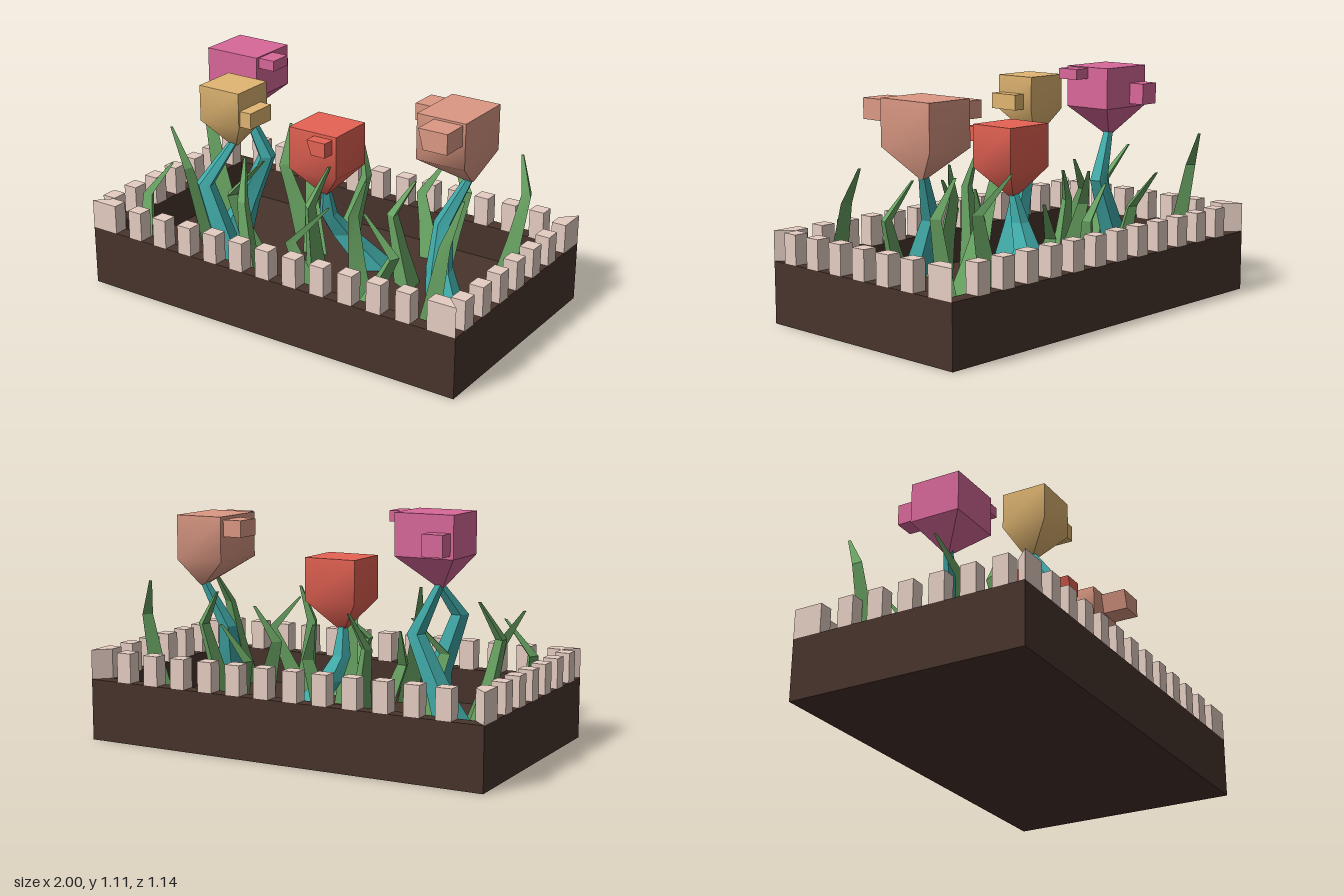
import * as THREE from 'three';
import { toCreasedNormals } from 'three/addons/utils/BufferGeometryUtils.js';

const mat = (name, color) => new THREE.MeshStandardMaterial({ name, color });

// Joins rings of points (all the same length) into a closed skin, bottom to top
function loft(rings, crease) {
  const n = rings[0].length, pos = [], index = [];
  rings.forEach(r => r.forEach(p => pos.push(...p)));
  for (let i = 0; i < rings.length - 1; i++) {
    for (let j = 0; j < n; j++) {
      const a = i * n + j, b = i * n + (j + 1) % n;
      index.push(a, a + n, b, b, a + n, b + n);
    }
  }
  const top = (rings.length - 1) * n;
  for (let j = 1; j < n - 1; j++) {
    index.push(top, top + j + 1, top + j);
    index.push(0, j, j + 1);
  }
  const g = new THREE.BufferGeometry();
  g.setAttribute('position', new THREE.Float32BufferAttribute(pos, 3));
  g.setIndex(index);
  return toCreasedNormals(g, crease);
}

// Bent, tapering stalk through the given [x, y, z] points
function stalk(points, radii, sides, turn) {
  return loft(points.map(([x, y, z], k) => Array.from({ length: sides }, (_, i) => {
    const a = turn + i / sides * Math.PI * 2;
    return [x + Math.cos(a) * radii[k], y, z + Math.sin(a) * radii[k]];
  })), 0.3);
}

const rect = (x0, x1, y, z0, z1) => [[x0, y, z0], [x1, y, z0], [x1, y, z1], [x0, y, z1]];
const square = (x0, x1, z0, z1) => [[x0, z0], [x1, z0], [x1, z1], [x0, z1]];

// Upright prism on an outline of [x, z] points; a hole runs the opposite way round
function prism(outline, y0, y1, hole) {
  const path = pts => pts.map(([x, z]) => new THREE.Vector2(x, -z));
  const shape = new THREE.Shape(path(outline));
  if (hole) shape.holes.push(new THREE.Path(path(hole).reverse()));
  const g = new THREE.ExtrudeGeometry(shape, { depth: y1 - y0, bevelEnabled: false });
  return g.rotateX(-Math.PI / 2).translate(0, y0, 0);
}

function add(parent, name, geometry, material) {
  const m = new THREE.Mesh(geometry, material);
  m.name = name;
  parent.add(m);
}

function addGroup(parent, name) {
  const g = new THREE.Group();
  g.name = name;
  parent.add(g);
  return g;
}

export function createModel() {
  const model = new THREE.Group();
  const soil = mat('soil brown', 0x48342c);
  const fence = mat('fence beige', 0xe6cec3);
  const teal = mat('stem teal', 0x40aaa8);
  const green = mat('grass green', 0x69a463);

  // Planter with a sunken bed
  const W = 1, D = 0.57, T = 0.07, RIM = 0.29, BED = 0.12, TOP = 0.43;
  const inner = square(-W + T, W - T, -D + T, D - T);
  add(model, 'planterWall', prism(square(-W, W, -D, D), 0, RIM, inner), soil);
  add(model, 'soilBed', prism(inner, 0, BED), soil);

  // Picket fence on the rim
  const pickets = addGroup(model, 'fence');
  const picket = outline => add(pickets, 'picket', prism(outline, RIM, TOP), fence);
  const ux = 2 * W / 27, uz = 2 * D / 15;
  for (let i = 2; i <= 24; i++) {
    const x = -W + i * ux;
    picket(i % 2 ? square(x, x + ux, D - T, D) : square(x, x + ux, -D, -D + T));
  }
  for (const s of [-1, 1]) {
    for (let i = 3; i <= 13; i += 2) {
      const z = -D + i * uz, x = s * (W - T / 2);
      picket(square(x - T / 2, x + T / 2, z, Math.min(z + uz, D - T)));
    }
    // Mitred corners
    picket([[s * W, D], [s * (W - 2 * T), D], [s * (W - 2 * T), D - T], [s * (W - T), D - T]]);
    picket([[s * W, -D], [s * W, -D + 2 * T], [s * (W - T), -D + 2 * T], [s * (W - T), -D + T]]);
  }

  // Flower: bloom box tapering down to an apex, on a bent stem.
  // The stem passes its root [x, z], the rim height [x, z] and a kink [x, y, z].
  function flower(name, color, crease, [x0, x1, y0, y1, z0, z1], [ax, ay, az], root, rim, kink) {
    const group = addGroup(model, name + 'Flower');
    const petal = mat('petal ' + name, color);
    add(group, 'bloom', loft([rect(ax - 0.01, ax + 0.01, ay, az - 0.01, az + 0.01),
      rect(x0, x1, y0, z0, z1), rect(x0, x1, y1, z0, z1)], crease), petal);
    const path = [[root[0], BED, root[1]], [rim[0], RIM, rim[1]], kink, [ax, ay + 0.03, az]];
    add(group, 'stem', stalk(path, [0.1, 0.065, 0.045, 0.022], 5, 0.4), teal);
    // Side bud; inset slants its lower -x edge
    return (bx0, bx1, by0, by1, bz0, bz1, inset = 0) => add(group, 'sideBud',
      loft([rect(bx0 + inset, bx1, by0, bz0, bz1), rect(bx0, bx1, by1, bz0, bz1)], 0.1), petal);
  }

  const pinkBud = flower('pink', 0xd9689a, 0.6, [-0.685, -0.4, 0.915, 1.11, -0.2, 0.05],
    [-0.57, 0.77, -0.07], [-0.65, -0.07], [-0.58, -0.09], [-0.46, 0.56, -0.1]);
  pinkBud(-0.4, -0.315, 1.055, 1.105, -0.08, 0.03);
  pinkBud(-0.67, -0.57, 0.93, 1.03, -0.28, -0.2);

  const goldBud = flower('gold', 0xe1b672, 1, [-0.48, -0.26, 0.885, 1.055, 0.16, 0.375],
    [-0.38, 0.745, 0.25], [-0.33, 0.36], [-0.36, 0.36], [-0.46, 0.58, 0.38]);
  goldBud(-0.26, -0.2, 0.895, 0.97, 0.21, 0.365);

  const redBud = flower('red', 0xe66354, 1, [-0.13, 0.13, 0.66, 0.865, -0.07, 0.17],
    [-0.01, 0.515, 0.045], [0.14, -0.14], [0.01, -0.06], [-0.02, 0.4, 0.01]);
  redBud(0.01, 0.11, 0.78, 0.85, 0.17, 0.23, 0.025);

  const peachBud = flower('peach', 0xdc9984, 1.05, [0.515, 0.76, 0.83, 1.045, -0.195, 0.11],
    [0.69, 0.7, -0.08], [0.71, 0.14], [0.61, 0.04], [0.59, 0.5, -0.02]);
  peachBud(0.42, 0.515, 0.95, 1.03, -0.17, -0.035);
  peachBud(0.6, 0.745, 0.94, 1.035, 0.11, 0.24, 0.025);

  // Grass blades: root x, z; bend x, z, height; tip x, z
  const blades = [
    [-0.83, -0.25, -0.95, -0.28, 0.6, -0.89, -0.38], [-0.68, 0.1, -0.78, 0.13, 0.5, -0.91, 0.08],
    [-0.8, 0.42, -0.85, 0.33, 0.42, -0.73, 0.29], [-0.36, -0.28, -0.49, -0.28, 0.45, -0.53, -0.4],
    [-0.13, -0.32, -0.06, -0.38, 0.45, -0.12, -0.43], [-0.17, -0.11, -0.25, -0.18, 0.48, -0.2, -0.26],
    [-0.4, 0.1, -0.5, 0.14, 0.43, -0.37, 0.05], [-0.16, 0.42, -0.24, 0.38, 0.54, -0.3, 0.28],
    [0.18, 0.38, 0.04, 0.4, 0.42, 0.19, 0.32], [0.07, 0.24, 0.06, 0.28, 0.55, 0.1, 0.18],
    [0.34, -0.37, 0.24, -0.42, 0.42, 0.34, -0.47], [0.3, 0.24, 0.24, 0.2, 0.52, 0.29, 0.17],
    [0.4, -0.03, 0.3, -0.05, 0.45, 0.39, -0.1], [0.44, -0.25, 0.56, -0.28, 0.55, 0.43, -0.36],
    [0.4, 0.4, 0.54, 0.33, 0.44, 0.38, 0.32], [0.76, -0.33, 0.85, -0.33, 0.58, 0.79, -0.38],
    [0.77, 0.45, 0.79, 0.32, 0.56, 0.81, 0.2],
  ];
  const grass = addGroup(model, 'grass');
  blades.forEach(([x, z, bx, bz, h, tx, tz], i) => {
    add(grass, 'grassBlade', stalk([[x, BED, z], [(x + bx) / 2, (BED + h) / 2, (z + bz) / 2],
      [bx, h, bz], [tx, h + 0.17, tz]], [0.07, 0.045, 0.03, 0.008], 3, i * 1.3), green);
  });
  return model;
}
